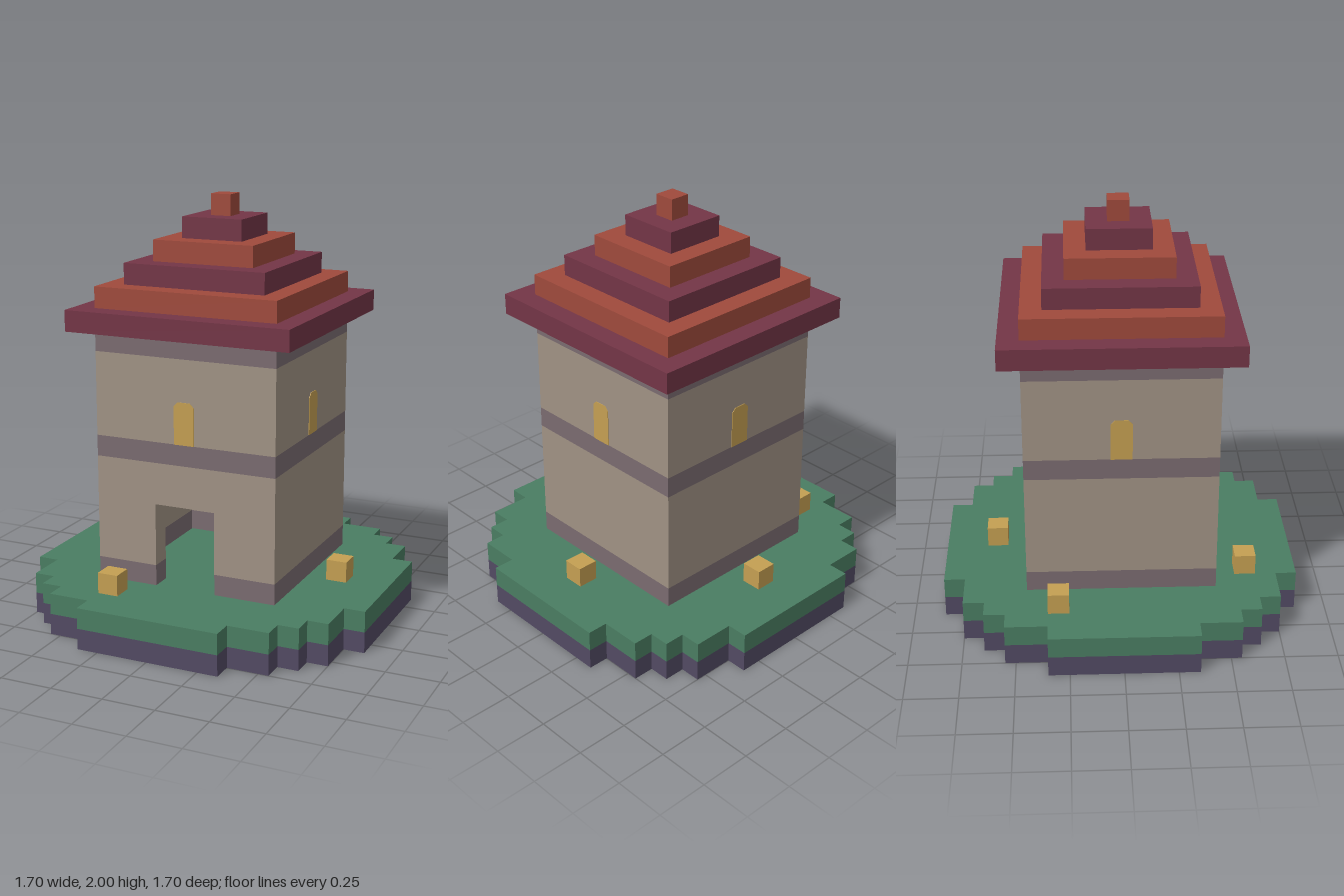
import * as THREE from 'three';

const mat = (name, color) => {
  const m = new THREE.MeshStandardMaterial({ color });
  m.name = name;
  return m;
};

export function createModel() {
  const model = new THREE.Group();
  model.name = 'tower';
  const grass = mat('grass green', 0x4a7d62);
  const earth = mat('dark earth', 0x524a63);
  const stone = mat('tan stone', 0xa09284);
  const band = mat('purple stone', 0x7a6b70);
  const tileDark = mat('plum tile', 0x733546);
  const tileRed = mat('red tile', 0x9f4a3c);
  const gold = mat('lantern gold', 0xc49f52);

  const add = (name, geometry, material, x = 0, y = 0, z = 0, parent = model) => {
    const mesh = new THREE.Mesh(geometry, material);
    mesh.name = name;
    mesh.position.set(x, y, z);
    parent.add(mesh);
    return mesh;
  };
  // Extrude a floor plan (x, -z) upwards
  const slab = (shape, height) =>
    new THREE.ExtrudeGeometry(shape, { depth: height, bevelEnabled: false }).rotateX(-Math.PI / 2);
  const plan = (pts) => new THREE.Shape(pts.map(([x, y]) => new THREE.Vector2(x, y)));

  // Stepped round island: one quarter outline turned four times
  const quarter = [[0.85, 0.35], [0.75, 0.35], [0.75, 0.55], [0.65, 0.55], [0.65, 0.65],
    [0.55, 0.65], [0.55, 0.75], [0.35, 0.75], [0.35, 0.85]];
  const outline = [];
  for (let i = 0; i < 4; i++) {
    const c = [1, 0, -1, 0][i], s = [0, 1, 0, -1][i];
    for (const [x, y] of quarter) outline.push([x * c - y * s, x * s + y * c]);
  }
  add('islandBase', slab(plan(outline), 0.1), earth);
  add('islandGrass', slab(plan(outline), 0.1), grass, 0, 0.1);

  // Hollow tower walls, with a doorway in the lower courses
  const o = 0.45, n = 0.35, d = 0.15;
  const ring = plan([[-o, -o], [o, -o], [o, o], [-o, o]]);
  ring.holes.push(plan([[-n, -n], [-n, n], [n, n], [n, -n]]));
  const doorRing = plan([[d, -o], [o, -o], [o, o], [-o, o], [-o, -o], [-d, -o],
    [-d, -n], [-n, -n], [-n, n], [n, n], [n, -n], [d, -n]]);
  const courses = [
    ['footingBand', doorRing, 0.2, 0.3, band],
    ['doorwayWall', doorRing, 0.3, 0.6, stone],
    ['lowerWall', ring, 0.6, 0.8, stone],
    ['middleBand', ring, 0.8, 0.9, band],
    ['upperWall', ring, 0.9, 1.3, stone],
    ['topBand', ring, 1.3, 1.4, band],
  ];
  for (const [name, shape, y0, y1, m] of courses) add(name, slab(shape, y1 - y0), m, 0, y0);

  // Window plates with clipped top corners, one per side
  const pane = plan([[-0.05, 0], [0.05, 0], [0.05, 0.18], [0.03, 0.2], [-0.03, 0.2], [-0.05, 0.18]]);
  const paneGeometry = new THREE.ExtrudeGeometry(pane, { depth: 0.006, bevelEnabled: false });
  for (let i = 0; i < 4; i++) {
    const side = new THREE.Group();
    side.name = 'windowSide';
    side.rotation.y = i * Math.PI / 2;
    add('window', paneGeometry, gold, 0, 0.9, o - 0.003, side);
    model.add(side);
  }

  // Stepped pyramid roof
  for (let i = 0; i < 6; i++) {
    const w = 1.1 - i * 0.2;
    add('roofStep', new THREE.BoxGeometry(w, 0.1, w), i % 2 ? tileRed : tileDark, 0, 1.45 + i * 0.1);
  }

  // Lantern blocks on the grass
  for (const [x, z] of [[0, -0.6], [-0.6, -0.3], [0.6, 0], [-0.3, 0.6]])
    add('lantern', new THREE.BoxGeometry(0.1, 0.1, 0.1), gold, x, 0.25, z);

  return model;
}
